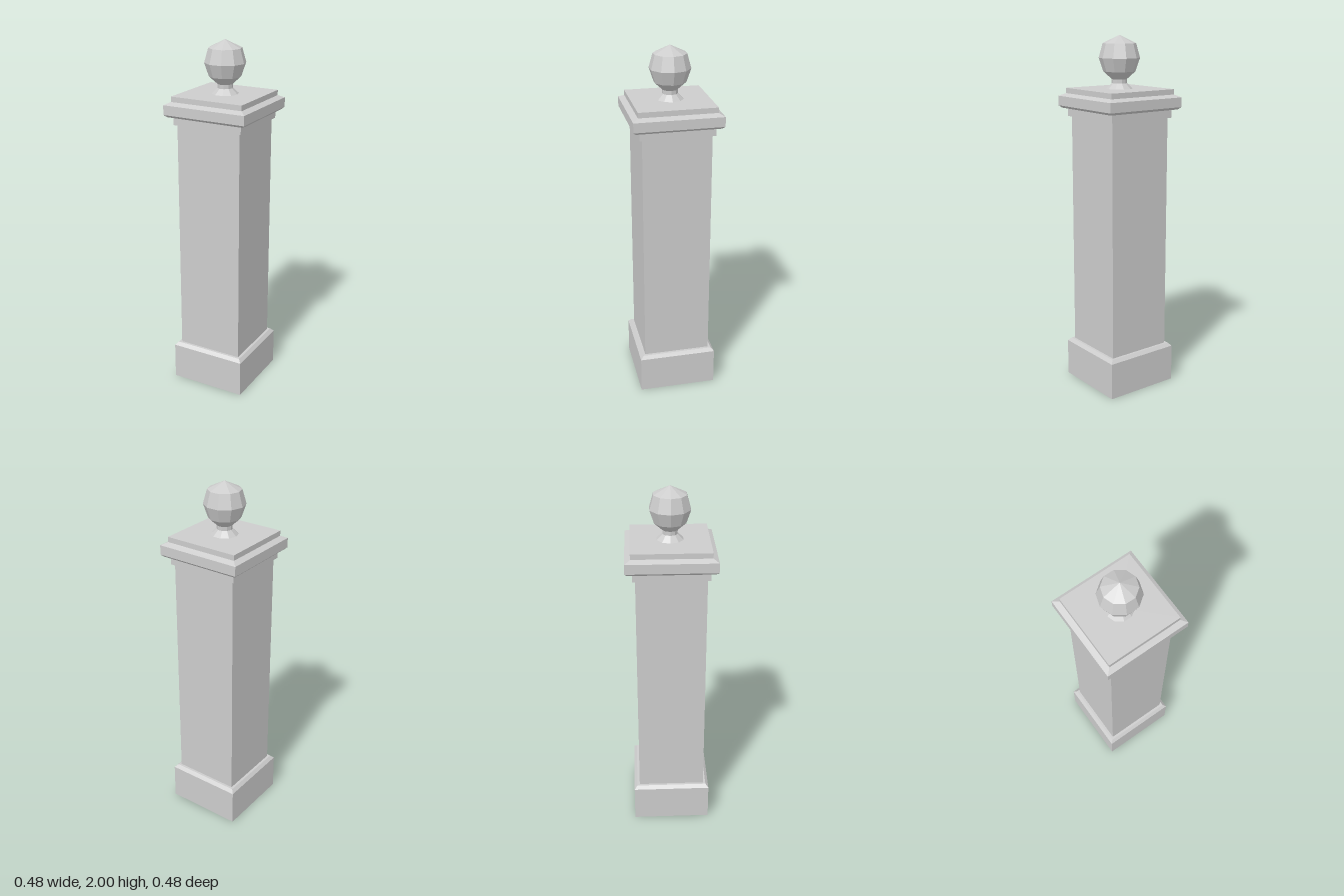
import * as THREE from 'three';

export function createModel() {
  const model = new THREE.Group();
  const stone = new THREE.MeshStandardMaterial({ color: 0xcccccc, flatShading: true });
  stone.name = 'pale grey stone';

  // Turns a [radius, height] profile, bottom to top, into a faceted part
  function turned(name, profile, sides, start) {
    const points = profile.map(([r, y]) => new THREE.Vector2(r, y));
    const mesh = new THREE.Mesh(new THREE.LatheGeometry(points, sides, start), stone);
    mesh.name = name;
    model.add(mesh);
  }

  // Square parts take half widths, scaled out to the corners
  const square = (name, profile) =>
    turned(name, profile.map(([w, y]) => [w * Math.SQRT2, y]), 4, Math.PI / 4);

  // Plinth with a bevelled top edge
  square('plinth', [[0, 0], [0.22, 0], [0.22, 0.21], [0.203, 0.228], [0.189, 0.228]]);

  // Plain shaft
  square('shaft', [[0.189, 0.228], [0.189, 1.556]]);

  // Collar, bevelled cornice and top slab
  square('collar', [[0.189, 1.556], [0.204, 1.556], [0.204, 1.602]]);
  square('cornice', [[0.204, 1.602], [0.228, 1.602], [0.242, 1.615], [0.242, 1.668], [0.212, 1.683]]);
  square('topSlab', [[0.212, 1.683], [0.212, 1.712], [0, 1.712]]);

  // Ten-sided finial: flared foot and neck, then the ball
  turned('finialNeck', [[0.074, 1.712], [0.042, 1.742], [0.042, 1.764]], 10, Math.PI / 2);
  turned('finialBall', [[0.042, 1.764], [0.088, 1.805], [0.113, 1.878], [0.091, 1.956], [0, 2]], 10, Math.PI / 2);

  return model;
}
